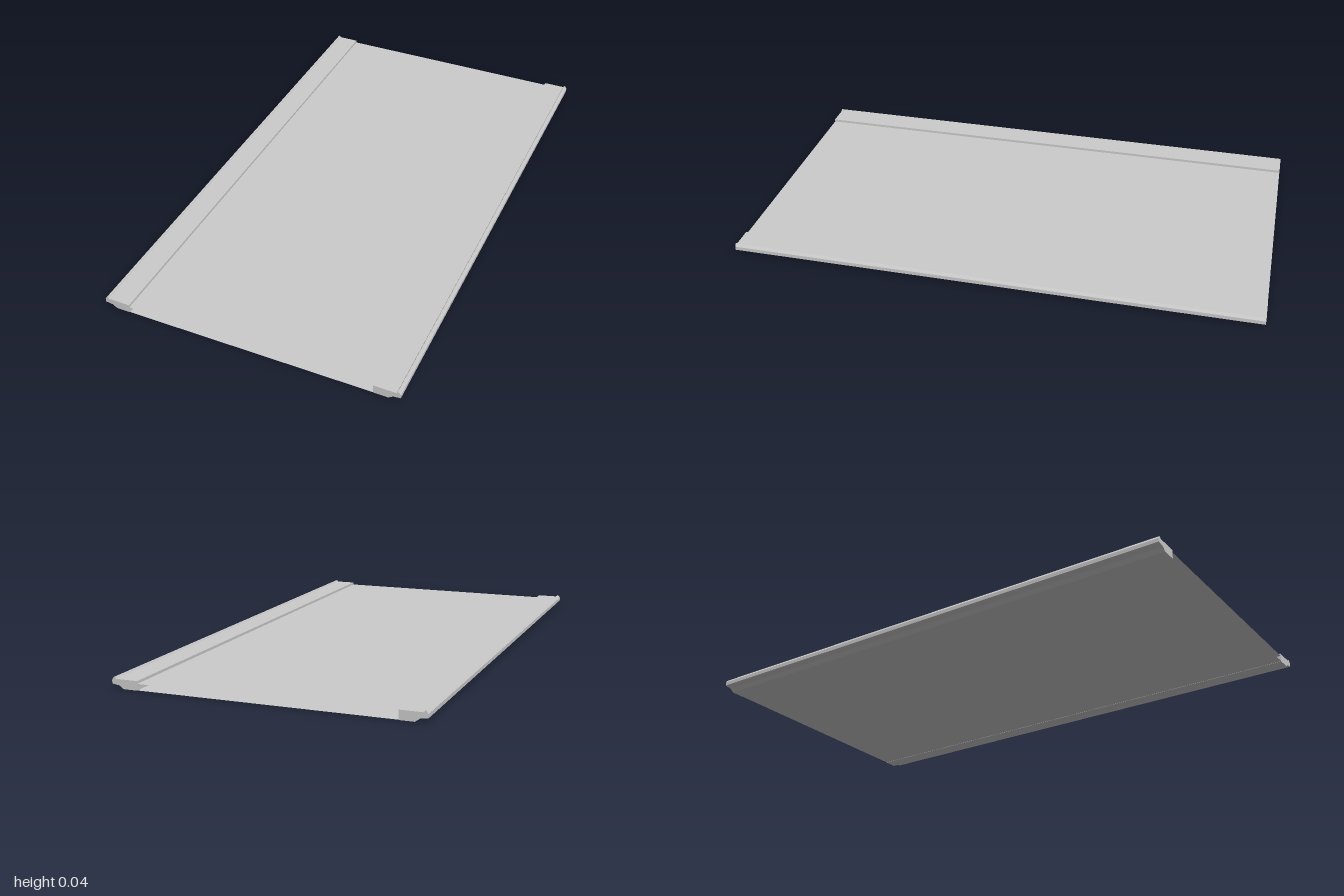
import * as THREE from 'three';

const LENGTH = 2;
const INNER = 0.472; // inner face of each rail

// Cross-section of the +x rail (x, y), counter-clockwise
const PROFILE = [
  [INNER, 0], [0.527, 0], [0.543, 0.012], [0.571, 0.016], [0.571, 0.03],
  [0.564, 0.04], [0.559, 0.04], [0.556, 0.034], [INNER, 0.034],
];

function makeRail(side, material) {
  const points = PROFILE.map(([x, y]) => new THREE.Vector2(side * x, y));
  const geometry = new THREE.ExtrudeGeometry(new THREE.Shape(points), {
    depth: LENGTH, bevelEnabled: false,
  });
  geometry.translate(0, 0, -LENGTH / 2);
  const rail = new THREE.Mesh(geometry, material);
  rail.name = side > 0 ? 'leftRail' : 'rightRail';
  return rail;
}

function makeSheet(name, y, material) {
  const geometry = new THREE.PlaneGeometry(2 * INNER, LENGTH);
  geometry.rotateX(-Math.PI / 2);
  const sheet = new THREE.Mesh(geometry, material);
  sheet.position.y = y;
  sheet.name = name;
  return sheet;
}

export function createModel() {
  const group = new THREE.Group();
  group.name = 'panel';
  const solid = new THREE.MeshStandardMaterial({ color: 0xcccccc, flatShading: true });
  const thin = new THREE.MeshStandardMaterial({ color: 0xcccccc, side: THREE.DoubleSide });

  // Mirrored edge rails
  for (const side of [1, -1]) group.add(makeRail(side, solid));

  // Thin skins between the rails, open at both ends
  group.add(makeSheet('topSheet', 0.024, thin));
  group.add(makeSheet('bottomSheet', 0.001, thin));
  return group;
}
